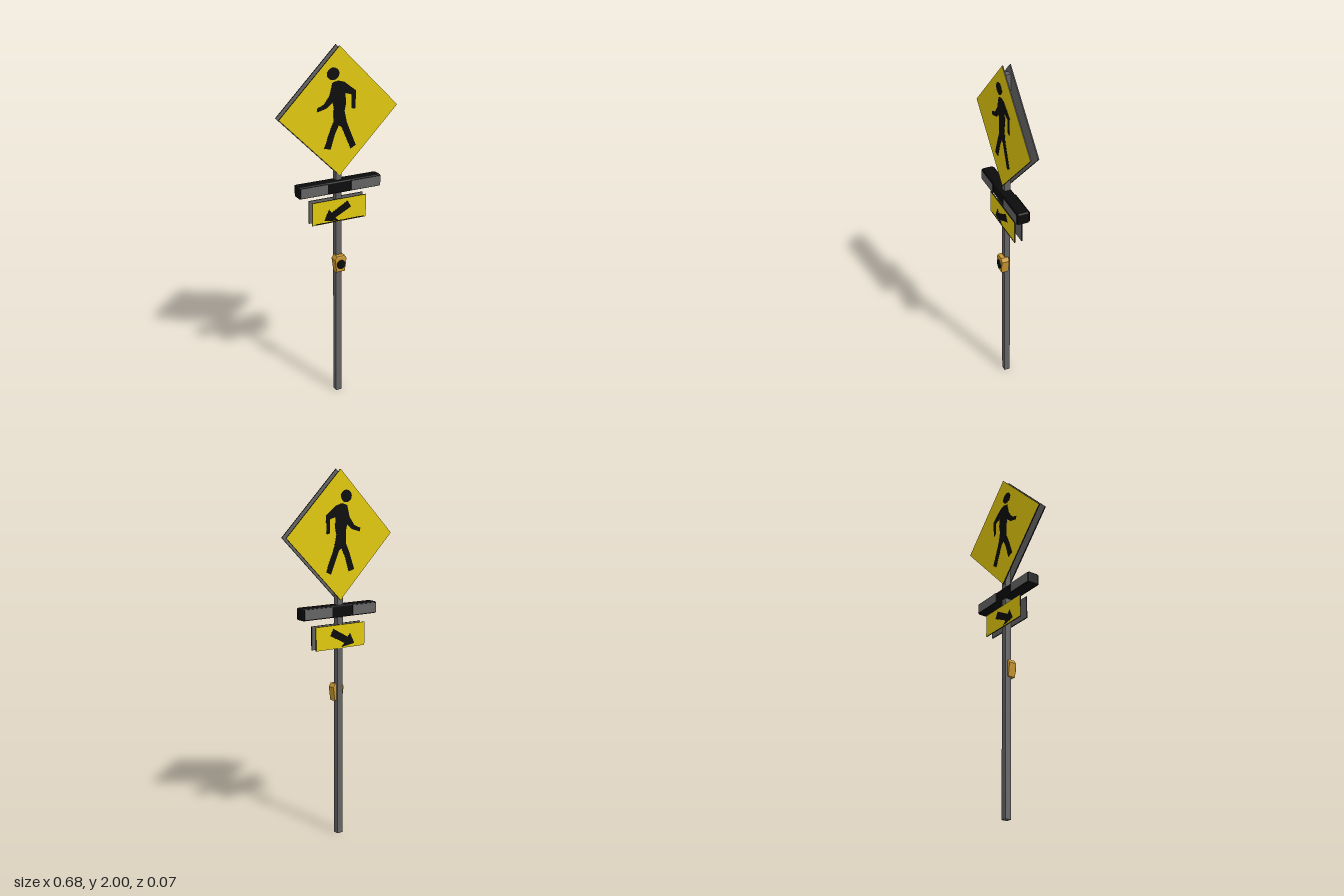
import * as THREE from 'three';
import { RoundedBoxGeometry } from 'three/addons/geometries/RoundedBoxGeometry.js';

const mat = (name, color) => {
  const m = new THREE.MeshStandardMaterial({ color });
  m.name = name;
  return m;
};

// Closed shape from points given in hundredths of a unit
const shapeOf = (pts) => new THREE.Shape(pts.map(([x, y]) => new THREE.Vector2(x / 100, y / 100)));

export function createModel() {
  const yellow = mat('sign yellow', 0xe0c80e);
  const black = mat('black', 0x0b0b0b);
  const grey = mat('metal grey', 0x636363);
  const amber = mat('button housing amber', 0xc8962f);

  const model = new THREE.Group();
  model.name = 'crosswalkSign';
  const add = (parent, name, geometry, material, x = 0, y = 0, z = 0) => {
    const mesh = new THREE.Mesh(geometry, material);
    mesh.name = name;
    mesh.position.set(x, y, z);
    parent.add(mesh);
    return mesh;
  };

  // Square post
  add(model, 'post', new THREE.BoxGeometry(0.034, 1.955, 0.034), grey, -0.002, 0.9775, -0.01);

  // Symbols
  const walker = shapeOf([
    [-4.2, 15.6], [-1, 16.6], [2.6, 15.6], [9.5, 10.3], [9, 0.8], [6.9, 1.3], [6.9, 8.5],
    [3.2, 9.7], [3.7, 4.5], [2.8, 0.3], [4.2, -6], [9.5, -18.8], [6.4, -20.3], [1.1, -8],
    [-0.5, -6.8], [-2.8, -11.4], [-5.3, -19.3], [-9, -18.3], [-5.6, -9], [-3.5, -4.5],
    [-3.4, 2.4], [-4.2, 5.6], [-7.4, 2.9], [-12.7, 1.5], [-13, 3.4], [-9, 5], [-5.8, 9.3],
  ]);
  const head = new THREE.Shape();
  head.absellipse(-0.037, 0.203, 0.035, 0.032, 0, Math.PI * 2);
  const arrow = shapeOf([
    [-9.2, -4.8], [-6.3, 1.2], [-4.8, -0.9], [4.8, 4.4], [6.9, 0.7], [-2.6, -4], [-0.5, -6.1],
  ]);
  const bottomLine = shapeOf([[-14, -6.4], [15, -6.4], [15, -5.9], [-14, -5.9]]);

  // Sign panels, one on each side of the post, painted on the outer face
  const thick = 0.006;
  for (const side of [1, -1]) {
    const label = side > 0 ? 'front' : 'back';
    const z = -0.01 + side * 0.02;
    const faces = [black, black, black, black, side > 0 ? yellow : grey, side > 0 ? grey : yellow];
    const decalZ = z + side * (thick / 2 + 0.0005);
    const decal = (name, shape, y) => {
      const g = new THREE.ExtrudeGeometry(shape, { depth: 0.001, bevelEnabled: false, curveSegments: 14 });
      g.translate(0, 0, -0.0005);
      add(model, name, g, black, 0, y, decalZ);
    };

    const diamond = add(model, label + 'DiamondSign',
      new THREE.BoxGeometry(0.483, 0.483, thick), faces, 0, 1.6585, z);
    diamond.rotation.z = Math.PI / 4;
    decal(label + 'WalkerBody', walker, 1.6585);
    decal(label + 'WalkerHead', head, 1.6585);

    add(model, label + 'ArrowSign', new THREE.BoxGeometry(0.322, 0.128, thick), faces, -0.001, 1.12, z);
    decal(label + 'Arrow', arrow, 1.122);
    if (side > 0) decal('frontArrowSignLine', bottomLine, 1.122);
  }

  // Light bar with two lamp windows facing both ways
  const bar = new THREE.Group();
  bar.name = 'lightBar';
  model.add(bar);
  add(bar, 'barHousing', new RoundedBoxGeometry(0.484, 0.066, 0.064, 2, 0.008), black, -0.001, 1.257, -0.002);
  for (const [name, x0, x1] of [['rightLamp', -0.237, -0.08], ['leftLamp', 0.059, 0.235]]) {
    add(bar, name, new THREE.BoxGeometry(x1 - x0, 0.055, 0.074),
      [black, black, black, black, grey, grey], (x0 + x1) / 2, 1.257, -0.002);
  }

  // Push button: tapered bevelled housing with a round black button
  const button = new THREE.Group();
  button.name = 'pushButton';
  button.position.set(-0.001, 0.81, 0);
  model.add(button);
  const housing = new THREE.ExtrudeGeometry(
    shapeOf([[-1.9, -3.9], [1.9, -3.9], [2.8, 2.6], [1.9, 4], [-1.9, 4], [-2.8, 2.6]]),
    { depth: 0.03, bevelSize: 0.009, bevelThickness: 0.009, bevelSegments: 2 });
  add(button, 'buttonHousing', housing, amber, 0, 0, -0.007);
  const disc = add(button, 'buttonDisc', new THREE.CylinderGeometry(0.026, 0.026, 0.01, 20), black, 0, -0.002, 0.03);
  disc.rotation.x = Math.PI / 2;

  return model;
}
